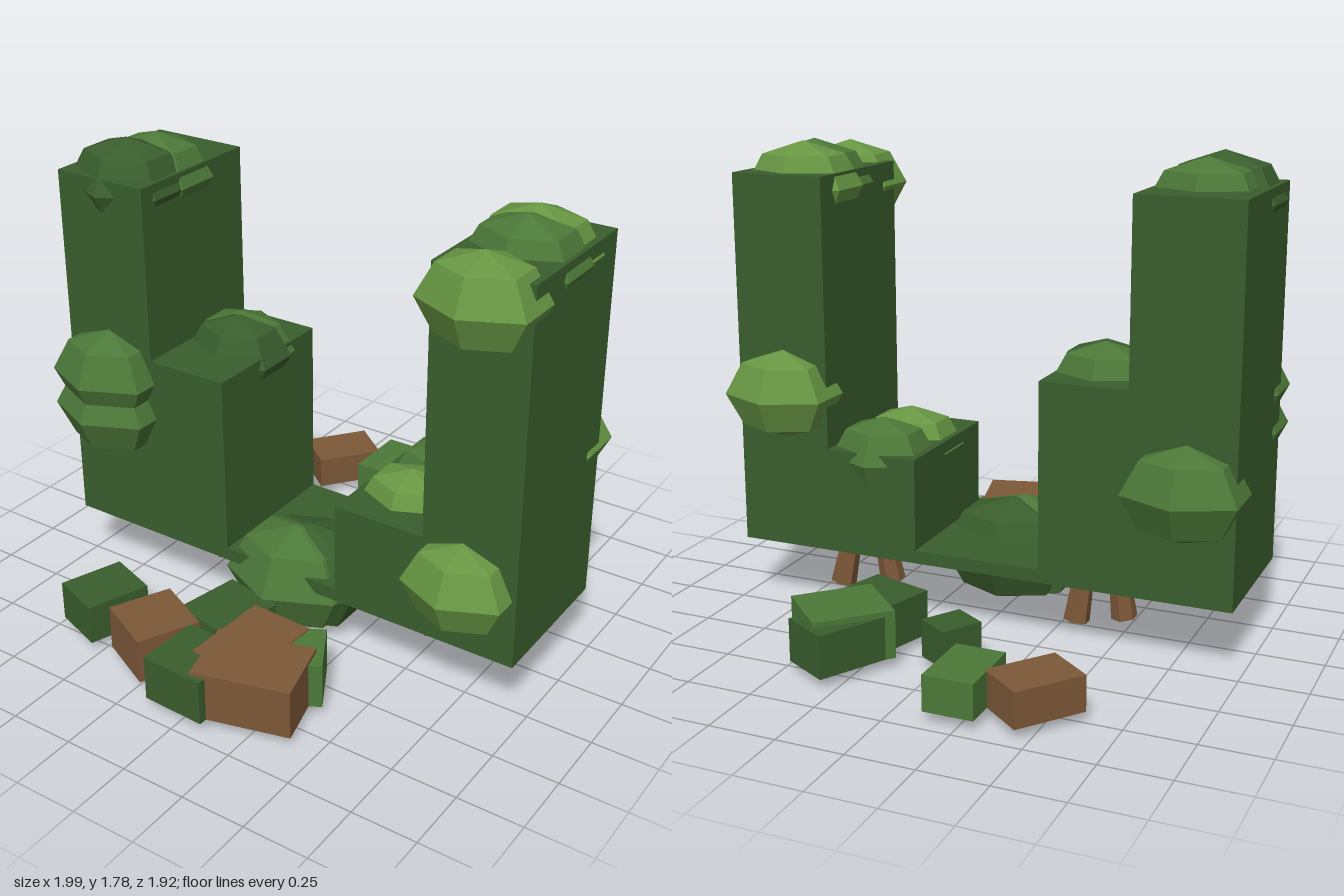
import * as THREE from 'three';

const material = (color) => new THREE.MeshStandardMaterial({ color, flatShading: true });

export function createModel() {
  const group = new THREE.Group();
  const dark = material(0x3a5e2d), mid = material(0x4c7838);
  const light = material(0x679643), wood = material(0x7d5838);

  const add = (name, geometry, mat) => {
    const mesh = new THREE.Mesh(geometry, mat);
    mesh.name = name;
    group.add(mesh);
    return mesh;
  };

  // Stepped hedge blocks: left edge, right edge, top
  const hedge = [
    [-0.97, -0.58, 1.67], [-0.58, -0.25, 1.0], [-0.25, 0.24, 0.3],
    [0.24, 0.6, 0.65], [0.6, 0.97, 1.67],
  ];
  for (const [x0, x1, top] of hedge) {
    add('hedgeBlock', new THREE.BoxGeometry(x1 - x0, top - 0.25, 0.58), dark)
      .position.set((x0 + x1) / 2, (top + 0.25) / 2, 0.04);
  }

  // Faceted, flattened leaf clumps: x, y, z, radius, material
  const clump = new THREE.SphereGeometry(1, 6, 4).rotateY(Math.PI / 6);
  const clumps = [
    // tower and step tops
    [-0.775, 1.61, 0.17, 0.24, dark], [-0.755, 1.61, 0.03, 0.225, mid],
    [0.775, 1.61, -0.06, 0.23, light], [0.785, 1.61, 0.04, 0.23, mid],
    [-0.41, 0.96, 0.01, 0.21, dark], [-0.42, 0.96, -0.03, 0.21, mid],
    [0.43, 0.61, -0.12, 0.21, mid], [0.42, 0.6, 0.1, 0.21, light],
    // front face
    [0.79, 1.58, 0.33, 0.23, light], [0.76, 0.515, 0.33, 0.225, light],
    [-0.775, 0.905, 0.33, 0.24, mid], [-0.775, 0.76, 0.33, 0.24, mid],
    // back face
    [0.78, 0.85, -0.25, 0.23, light], [-0.79, 0.655, -0.25, 0.24, mid],
    // low middle
    [-0.02, 0.21, 0.2, 0.285, mid], [0.02, 0.21, 0.16, 0.285, dark],
  ];
  for (const [x, y, z, r, mat] of clumps) {
    const mesh = add('leafClump', clump, mat);
    mesh.position.set(x, y, z);
    mesh.scale.set(r, r * 0.73, r * 0.8);
  }

  // Splayed trunk stems: top x, z then bottom x, z
  const stems = [
    [0.53, 0.03, 0.485, 0.04], [0.61, -0.03, 0.655, -0.055],
    [-0.455, 0.03, -0.485, 0.04], [-0.36, -0.03, -0.33, -0.055],
  ];
  for (const [tx, tz, bx, bz] of stems) {
    const top = new THREE.Vector3(tx, 0.3, tz), bottom = new THREE.Vector3(bx, 0.045, bz);
    const axis = top.clone().sub(bottom);
    const stem = add('trunkStem', new THREE.CylinderGeometry(0.035, 0.05, axis.length(), 6), wood);
    stem.position.copy(top).add(bottom).multiplyScalar(0.5);
    stem.quaternion.setFromUnitVectors(new THREE.Vector3(0, 1, 0), axis.normalize());
  }

  // Scattered ground blocks: x, z, width, depth, turn, top, material
  const debris = [
    [-0.46, -0.79, 0.2, 0.27, -0.66, 0.17, wood],
    [-0.22, -0.82, 0.185, 0.27, 0, 0.17, mid],
    [-0.04, -0.535, 0.14, 0.16, -0.56, 0.18, dark],
    [0.31, -0.7, 0.2, 0.3, -0.5, 0.2, dark],
    [0.285, -0.47, 0.25, 0.26, -0.3, 0.21, dark],
    [0.34, -0.63, 0.27, 0.3, -0.77, 0.22, mid],
    [-0.585, 0.66, 0.21, 0.25, -0.34, 0.195, dark],
    [-0.285, 0.73, 0.25, 0.245, -0.45, 0.215, wood],
    [-0.1, 0.53, 0.24, 0.26, -0.2, 0.21, dark],
    [-0.02, 0.83, 0.25, 0.25, -0.04, 0.215, dark],
    [0.105, 0.66, 0.25, 0.35, -0.05, 0.22, wood],
    [0.24, 0.61, 0.22, 0.24, -1.05, 0.215, mid],
    [0.19, 0.765, 0.37, 0.27, 0.26, 0.23, wood],
  ];
  for (const [x, z, w, d, turn, top, mat] of debris) {
    const block = add('groundBlock', new THREE.BoxGeometry(w, top - 0.04, d), mat);
    block.position.set(x, (top + 0.04) / 2, z);
    block.rotation.y = turn;
  }
  return group;
}
